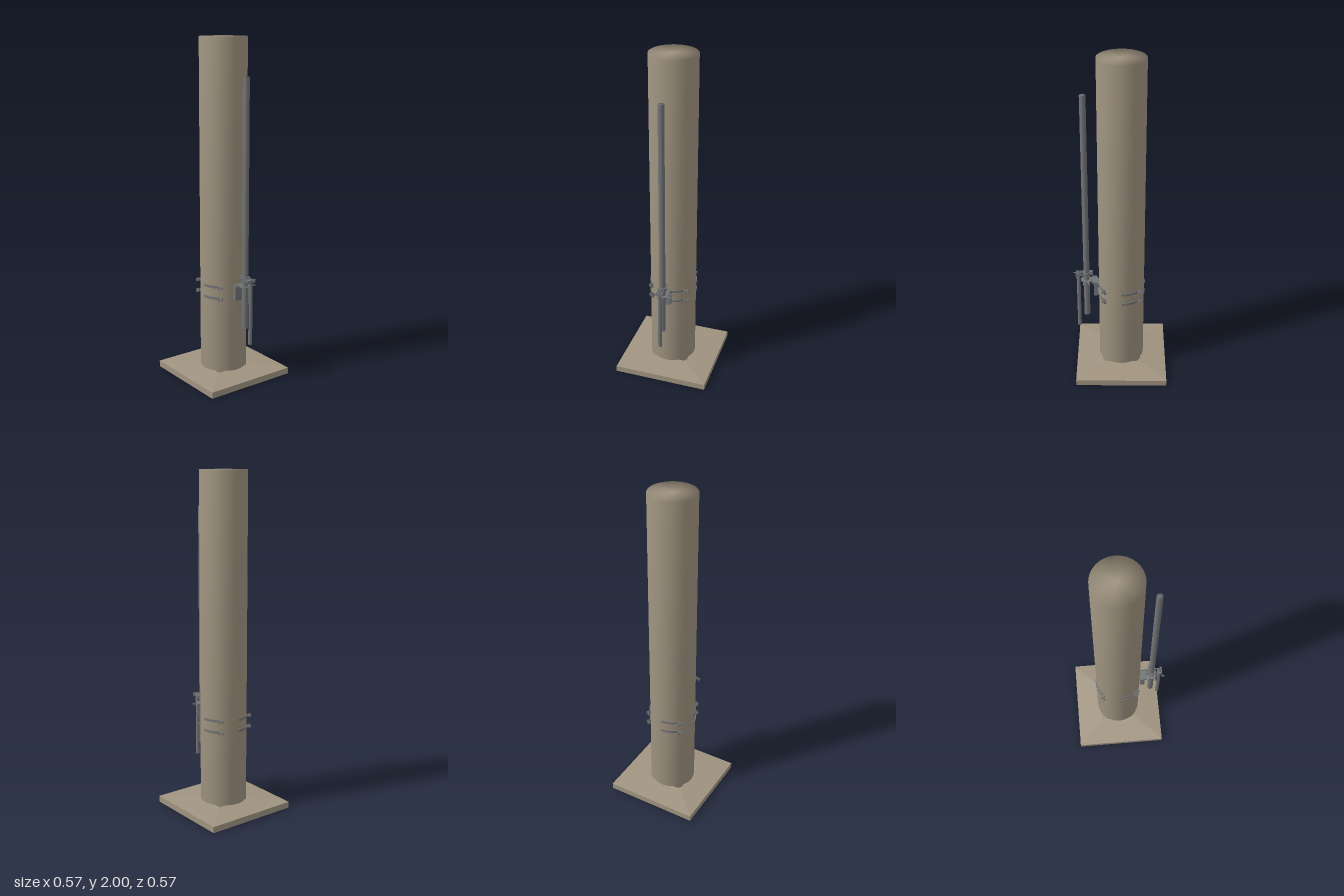
import * as THREE from 'three';

export function createModel() {
  const model = new THREE.Group();
  const stone = new THREE.MeshStandardMaterial({ color: 0xa09480, side: THREE.DoubleSide });
  stone.name = 'stone';
  const steel = new THREE.MeshStandardMaterial({ color: 0x727476, side: THREE.DoubleSide });
  steel.name = 'steel';
  const CZ = -0.0075, PIPE_Z = 0.204, ROD_Z = 0.253;

  function add(name, geo, mat, x = 0, y = 0, z = 0, parent = model) {
    const m = new THREE.Mesh(geo, mat);
    m.name = name;
    m.position.set(x, y, z);
    parent.add(m);
    return m;
  }
  const box = (w, h, d) => new THREE.BoxGeometry(w, h, d);
  const cyl = (r, h, n = 16) => new THREE.CylinderGeometry(r, r, h, n);
  // Capped column whose normals run smoothly over the rim
  const column = (r, y0, y1, n) => new THREE.LatheGeometry(
    [[0, y0], [r, y0], [r, y1], [0, y1]].map(p => new THREE.Vector2(...p)), n);
  // Flat horizontal plate cut from a shape drawn in x and z
  function plate(shape, h) {
    const g = new THREE.ExtrudeGeometry(shape, { depth: h, bevelEnabled: false, curveSegments: 16 });
    return g.rotateX(Math.PI / 2);
  }

  // Square footing with a gently sloped top
  add('footingSlab', box(0.568, 0.037, 0.553), stone, 0, 0.0185, CZ);
  const slope = new THREE.CylinderGeometry(0.12 * Math.SQRT2, 0.284 * Math.SQRT2, 0.018, 4, 1, true)
    .toNonIndexed().rotateY(Math.PI / 4).scale(1, 1, 0.974);
  slope.computeVertexNormals();
  add('footingSlope', slope, stone, 0, 0.046, CZ);

  // Main pillar
  add('pillar', column(0.137, 0.03, 2, 64), stone, 0, 0, CZ);

  // Tall mast and short rod in front of the pillar
  add('mast', column(0.018, 0.34, 1.79, 24), steel, 0, 0, PIPE_Z);
  add('rod', column(0.0115, 0.255, 0.65, 20), steel, 0, 0, ROD_Z);

  // Two levels of strap, each with four eighth-turn segments ending in a bolted lug
  for (const y of [0.508, 0.576]) {
    for (let i = 0; i < 4; i++) {
      const strap = new THREE.Group();
      strap.name = 'strap';
      strap.position.set(0, y, CZ);
      strap.rotation.y = i * Math.PI / 2;
      model.add(strap);
      const s = new THREE.Shape();
      s.absarc(0, 0, 0.142, Math.PI / 4, Math.PI / 2, false);
      s.absarc(0, 0, 0.138, Math.PI / 2, Math.PI / 4, true);
      add('strapBand', plate(s, 0.014), steel, 0, 0.007, 0, strap);
      const lug = new THREE.Group();
      lug.name = 'strapLug';
      lug.rotation.y = Math.PI / 4;
      strap.add(lug);
      add('lugPlate', box(0.004, 0.016, 0.025), steel, -0.001, 0, 0.151, lug);
      add('bolt', cyl(0.003, 0.024, 10), steel, 0.004, 0, 0.154, lug).rotation.z = Math.PI / 2;
      add('boltHead', cyl(0.010, 0.005, 6), steel, 0.016, 0, 0.154, lug).rotation.z = Math.PI / 2;
      add('nut', cyl(0.008, 0.005, 6), steel, -0.006, 0, 0.154, lug).rotation.z = Math.PI / 2;
    }
  }

  // Wall bracket: upright channel and shelf
  add('bracketBack', box(0.066, 0.09, 0.005), steel, 0, 0.545, 0.158);
  for (const x of [-0.032, 0.032]) {
    add('bracketCheek', box(0.005, 0.09, 0.024), steel, x, 0.545, 0.147);
    add('bracketRib', box(0.007, 0.012, 0.03), steel, x * 0.9, 0.593, 0.158);
  }
  for (const y of [0.508, 0.576]) add('bracketTie', box(0.06, 0.014, 0.03), steel, 0, y, 0.144);
  add('bracketShelf', box(0.07, 0.006, 0.036), steel, 0, 0.59, 0.156);

  // Ring seat around the mast with a fork on the left side
  const ring = new THREE.Shape();
  ring.absarc(0, 0, 0.035, 0, Math.PI * 2, false);
  const bore = new THREE.Path();
  bore.absarc(0, 0, 0.0175, 0, Math.PI * 2, true);
  ring.holes.push(bore);
  add('ringSeat', plate(ring, 0.007), steel, 0, 0.598, PIPE_Z);
  const fork = new THREE.Shape();
  fork.moveTo(0.027, -0.019);
  fork.lineTo(0.063, -0.019);
  fork.lineTo(0.063, -0.012);
  fork.lineTo(0.048, -0.012);
  fork.absarc(0.048, 0, 0.012, -Math.PI / 2, Math.PI / 2, true);
  fork.lineTo(0.063, 0.012);
  fork.lineTo(0.063, 0.019);
  fork.lineTo(0.027, 0.019);
  add('fork', plate(fork, 0.006), steel, 0, 0.598, PIPE_Z);

  // Upper clamp holding mast and rod
  add('mastCollar', cyl(0.024, 0.022, 24), steel, 0, 0.642, PIPE_Z);
  add('rodCollar', cyl(0.015, 0.02, 16), steel, 0, 0.638, ROD_Z);
  for (const x of [-0.016, 0.016]) {
    add('clampArm', box(0.005, 0.016, 0.055), steel, x, 0.64, 0.24);
    add('clampEar', box(0.005, 0.022, 0.02), steel, x * 0.6, 0.644, 0.176);
  }
  add('earBolt', cyl(0.0035, 0.04, 10), steel, 0, 0.644, 0.172).rotation.z = Math.PI / 2;
  for (const x of [-0.026, 0.026]) add('sideBolt', cyl(0.006, 0.012, 6), steel, x, 0.642, PIPE_Z).rotation.z = Math.PI / 2;
  add('clampFront', box(0.054, 0.012, 0.004), steel, -0.004, 0.637, 0.267);
  add('frontPin', cyl(0.004, 0.02, 10), steel, -0.029, 0.625, 0.274).rotation.x = Math.PI / 2;
  add('frontKnob', cyl(0.005, 0.014, 10), steel, 0.02, 0.642, 0.265);
  return model;
}
